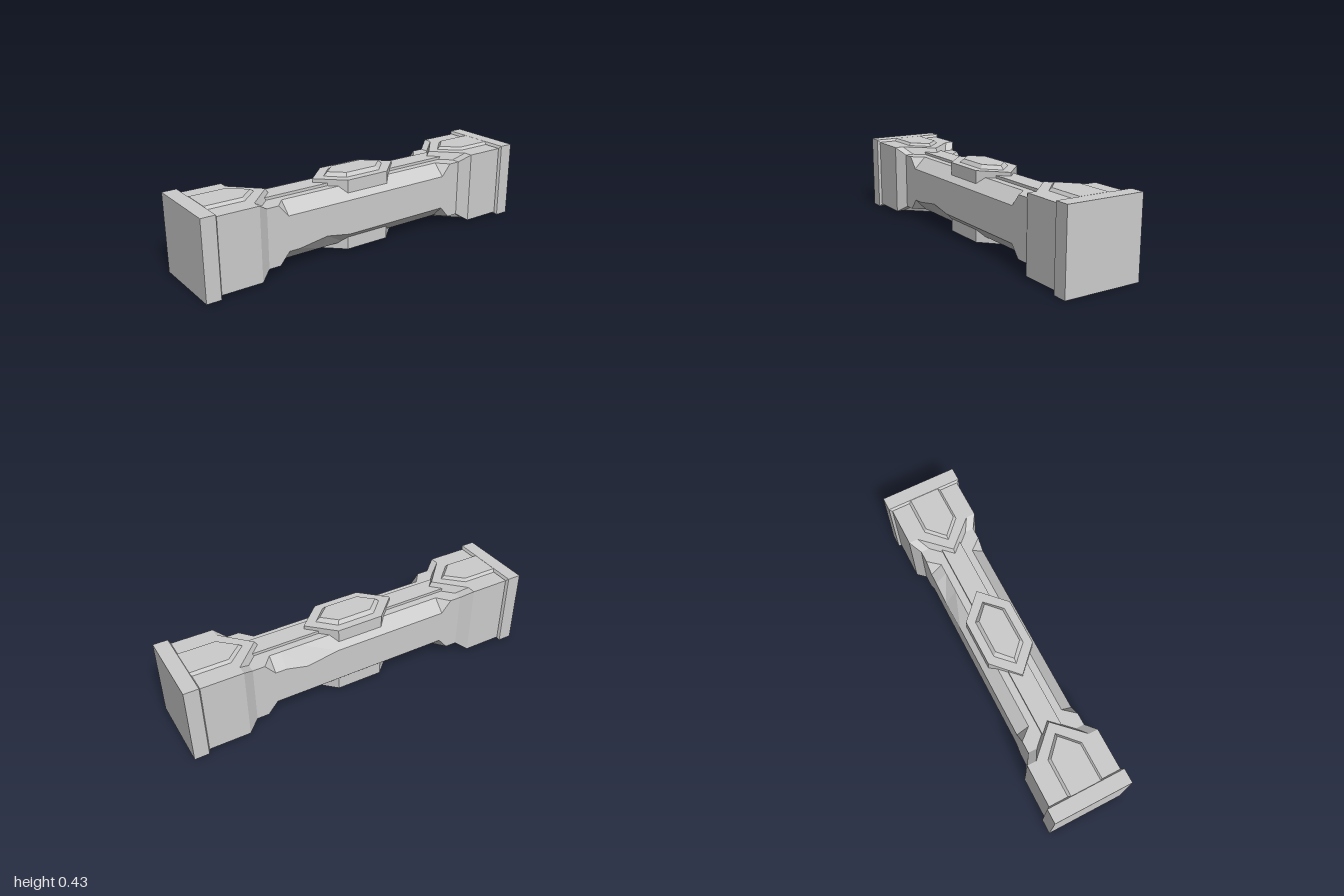
import * as THREE from 'three';

const MID = 0.215; // height of the pillar's long axis
const material = new THREE.MeshStandardMaterial({ color: 0xcccccc, flatShading: true, side: THREE.DoubleSide });

// Joins convex rings of [x, y, z] points into a closed, flat-faced solid.
// Rings run counter-clockwise as seen from the last ring's end.
function loft(name, rings) {
  const out = [];
  const tri = (a, b, c) => out.push(...a, ...b, ...c);
  const n = rings[0].length;
  for (let r = 0; r < rings.length - 1; r++) {
    const a = rings[r], b = rings[r + 1];
    for (let i = 0; i < n; i++) {
      const j = (i + 1) % n;
      tri(a[i], a[j], b[j]);
      tri(a[i], b[j], b[i]);
    }
  }
  const first = rings[0], last = rings[rings.length - 1];
  for (let i = 1; i < n - 1; i++) {
    tri(first[0], first[i + 1], first[i]);
    tri(last[0], last[i], last[i + 1]);
  }
  const g = new THREE.BufferGeometry();
  g.setAttribute('position', new THREE.Float32BufferAttribute(out, 3));
  g.computeVertexNormals();
  const mesh = new THREE.Mesh(g, material);
  mesh.name = name;
  return mesh;
}

const square = (h, z) => [[h, -h, z], [h, h, z], [-h, h, z], [-h, -h, z]];
const outline = (pts, y) => pts.map(([x, z]) => [x, y, z]);

// Shaft section: square with chamfered corners; chips widen one chamfer
function shaftRing(z, chamfer, chipLow = 0, chipHigh = 0) {
  const h = 0.16, k = h - chamfer;
  return [
    [h, -k + chipLow, z], [h, k, z], [k, h, z], [-k, h, z],
    [-h, k - chipHigh, z], [-h, -k, z], [-k, -h, z], [k, -h, z],
  ];
}

function makeShaft() {
  const c = 0.065;
  return loft('shaft', [
    shaftRing(-0.64, 0), shaftRing(-0.565, 0), shaftRing(-0.51, c),
    shaftRing(-0.45, c), shaftRing(-0.33, c, 0, 0.03), shaftRing(-0.15, c),
    shaftRing(0.14, c), shaftRing(0.28, c, 0.025), shaftRing(0.45, c),
    shaftRing(0.51, c), shaftRing(0.565, 0), shaftRing(0.64, 0),
  ]);
}

// Elongated hexagon, counter-clockwise from above
const hexagon = (w, corner, tip) =>
  [[w, corner], [w, -corner], [0, -tip], [-w, -corner], [-w, corner], [0, tip]];

// Pointed end panel, running from the end cap to a tip
const pointed = (w, shoulder, tip) =>
  [[-w, 0.92], [w, 0.92], [w, shoulder], [0, tip], [-w, shoulder]];

// Central strip and hexagonal boss of one face
function makeFaceTrim() {
  const trim = new THREE.Group();
  trim.name = 'faceTrim';
  const strip = new THREE.Mesh(new THREE.BoxGeometry(0.11, 0.03, 1.2), material);
  strip.name = 'centreStrip';
  strip.position.y = 0.16;
  const base = hexagon(0.13, 0.13, 0.265);
  trim.add(
    strip,
    loft('hexBase', [outline(base, 0.1), outline(base, 0.195)]),
    loft('hexBoss', [
      outline(hexagon(0.09, 0.11, 0.2), 0.19),
      outline(hexagon(0.07, 0.095, 0.17), 0.215),
    ]),
  );
  return trim;
}

// Arrow-shaped wedge and raised panel of one face of an end block
function makeEndTrim() {
  const trim = new THREE.Group();
  trim.name = 'endTrim';
  trim.add(
    loft('arrowWedge', [
      outline([[-0.175, 0.69], [0.175, 0.69], [0, 0.52]], 0.158),
      outline([[-0.15, 0.69], [0.15, 0.69], [0, 0.545]], 0.2),
    ]),
    loft('raisedPanel', [
      outline(pointed(0.1, 0.71, 0.605), 0.195),
      outline(pointed(0.083, 0.718, 0.63), 0.215),
    ]),
  );
  return trim;
}

function makeEnd() {
  const end = new THREE.Group();
  end.name = 'pillarEnd';
  end.add(
    loft('endBlock', [square(0.16, 0.63), square(0.2, 0.69), square(0.2, 0.93)]),
    loft('endCap', [square(0.203, 0.914), square(0.215, 0.922), square(0.215, 1)]),
  );
  for (const turn of [0, Math.PI]) {
    const trim = makeEndTrim();
    trim.rotation.z = turn;
    end.add(trim);
  }
  return end;
}

export function createModel() {
  const model = new THREE.Group();
  model.name = 'pillar';
  const body = new THREE.Group();
  body.name = 'pillarBody';
  body.position.y = MID;
  body.add(makeShaft());
  // Matching trim above and below, matching ends front and back
  for (const turn of [0, Math.PI]) {
    const trim = makeFaceTrim();
    trim.rotation.z = turn;
    const end = makeEnd();
    end.rotation.y = turn;
    body.add(trim, end);
  }
  model.add(body);
  return model;
}
